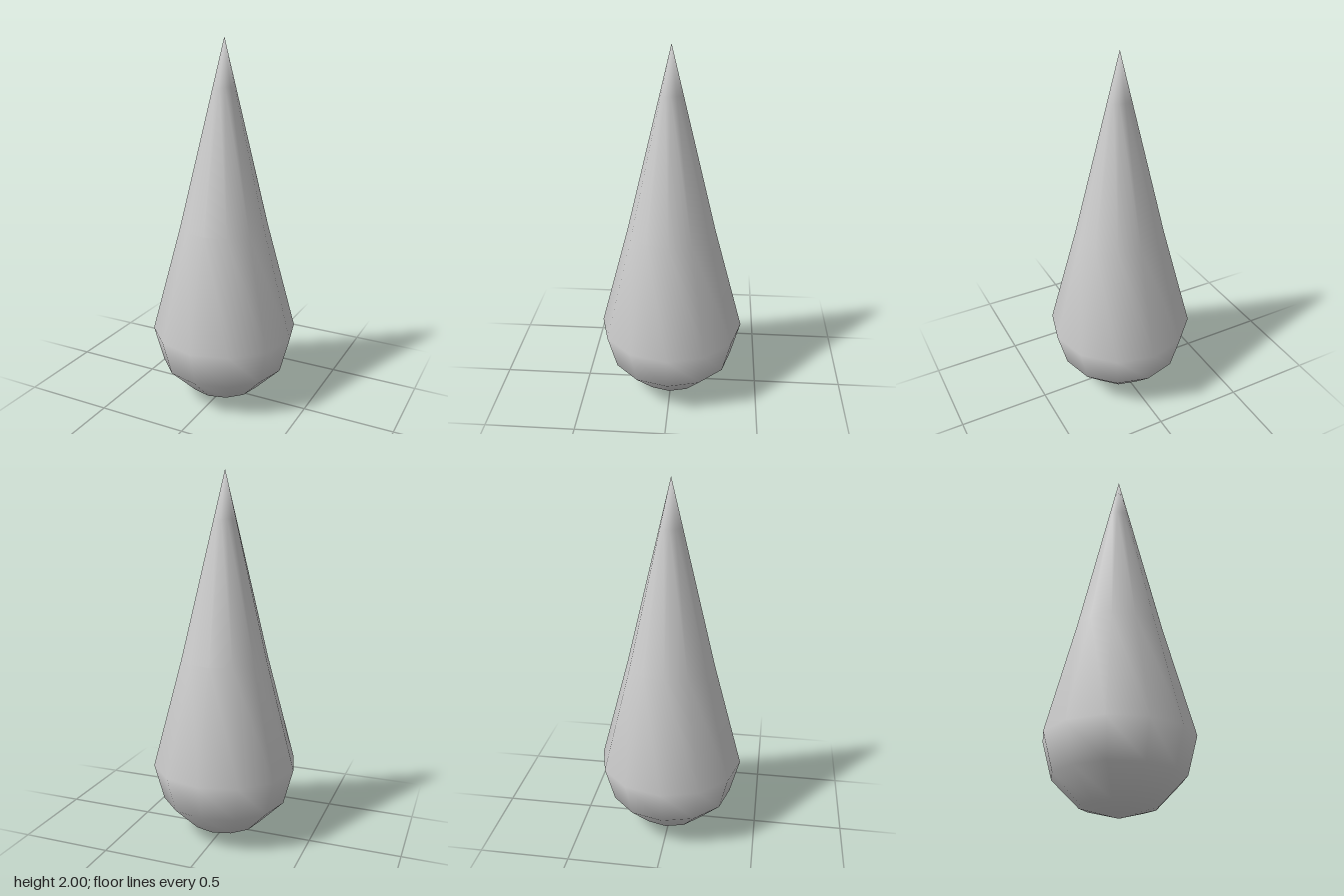
import * as THREE from 'three';
import { mergeVertices } from 'three/addons/utils/BufferGeometryUtils.js';

export function createModel() {
  const group = new THREE.Group();
  group.name = 'teardrop';

  // Half-round base: rings every 30 degrees of a 0.4 sphere
  const R = 0.4;
  const profile = [];
  for (let i = 0; i <= 3; i++) {
    const a = (i * Math.PI) / 6;
    profile.push(new THREE.Vector2(R * Math.sin(a), R - R * Math.cos(a)));
  }
  // Slightly concave taper to the point
  profile.push(
    new THREE.Vector2(0.24, 1.0),
    new THREE.Vector2(0.06, 1.75),
    new THREE.Vector2(0, 2)
  );

  // Weld the seam and poles so the shading is smooth all around
  let geometry = new THREE.LatheGeometry(profile, 12);
  geometry.deleteAttribute('uv');
  geometry.deleteAttribute('normal');
  geometry = mergeVertices(geometry, 1e-4);
  geometry.computeVertexNormals();

  const drop = new THREE.Mesh(geometry, new THREE.MeshStandardMaterial({ color: 0xcccccc }));
  drop.name = 'dropBody';
  group.add(drop);
  return group;
}
